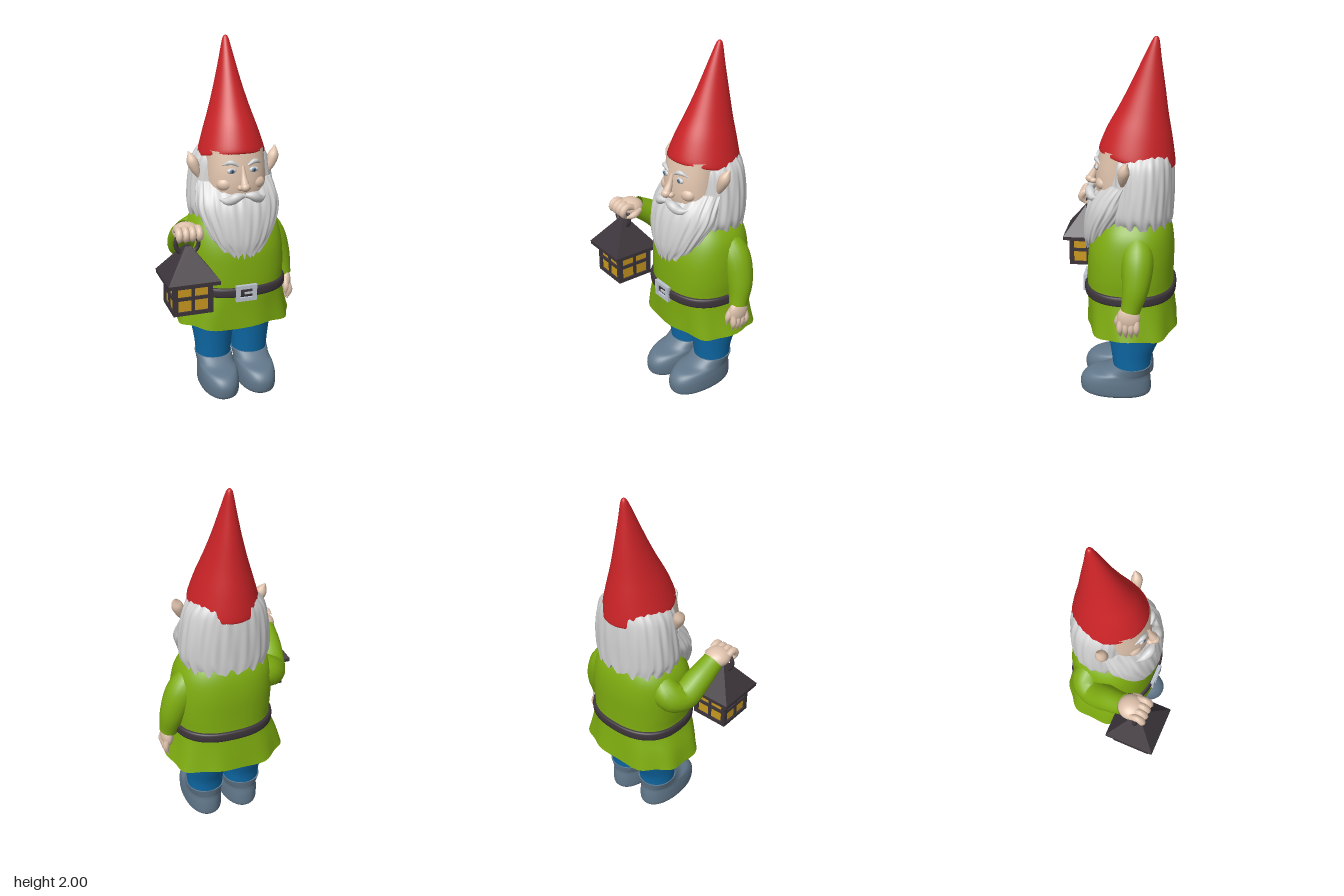
import * as THREE from 'three';
import { mergeVertices } from 'three/addons/utils/BufferGeometryUtils.js';

const mat = (name, color, side = THREE.FrontSide) => {
  const m = new THREE.MeshStandardMaterial({ color, side });
  m.name = name;
  return m;
};
const M = {
  red: mat('hatRed', 0xcb2327), green: mat('tunicGreen', 0x7eac10, THREE.DoubleSide),
  blue: mat('trouserBlue', 0x0e69a6), boot: mat('bootGrey', 0x61778a),
  dark: mat('darkIron', 0x3c353b), skin: mat('skin', 0xdfc3ad),
  white: mat('hairWhite', 0xd2d2d2), amber: mat('lanternAmber', 0xc9991f),
  silver: mat('buckleSilver', 0xbcc3ce), eye: mat('eyeBlue', 0x5b87ad),
};
const CX = 0.05; // body axis

function add(parent, name, geo, material, pos = [0, 0, 0], scale = [1, 1, 1]) {
  const m = new THREE.Mesh(geo, material);
  m.name = name;
  m.position.set(...pos);
  m.scale.set(...scale);
  parent.add(m);
  return m;
}

// Smooth value through a list of rows at 0..1
function spline(rows, k, u) {
  const f = u * (rows.length - 1), i = Math.min(Math.floor(f), rows.length - 2), t = f - i;
  const at = (j) => rows[THREE.MathUtils.clamp(j, 0, rows.length - 1)][k] ?? 0;
  const [a, b, c, d] = [at(i - 1), at(i), at(i + 1), at(i + 2)];
  return b + 0.5 * t * (c - a + t * (2 * a - 5 * b + 4 * c - d + t * (3 * (b - c) + d - a)));
}

// Skin over rising oval rings [y, cx, cz, rx, rz, tilt]
function loft(rings, { seg = 48, steps = 28, n = 2, ripple, drop, caps = true } = {}) {
  const pos = [], idx = [], row = seg;
  const pow = (s) => Math.sign(s) * Math.abs(s) ** (2 / n);
  for (let i = 0; i <= steps; i++) {
    const v = i / steps;
    const [y, cx, cz, rx, rz, tilt] = [0, 1, 2, 3, 4, 5].map((k) => spline(rings, k, v));
    for (let j = 0; j < seg; j++) {
      const a = (j / seg) * Math.PI * 2, r = 1 + (ripple ? ripple(a, v) : 0);
      const dz = rz * r * pow(Math.cos(a));
      pos.push(cx + rx * r * pow(Math.sin(a)), y + tilt * dz + (drop ? drop(a, v) : 0), cz + dz);
      if (i < steps) {
        const p = i * row + j, q = i * row + (j + 1) % seg;
        idx.push(p, q, p + row, q, q + row, p + row);
      }
    }
  }
  if (caps) for (const i of [0, steps]) {
    const start = pos.length / 3, c = [0, 0, 0];
    for (let j = 0; j < seg; j++) for (let k = 0; k < 3; k++) {
      const value = pos[(i * row + j) * 3 + k];
      pos.push(value);
      c[k] += value / seg;
    }
    pos.push(...c);
    for (let j = 0; j < seg; j++) {
      const p = start + j, q = start + (j + 1) % seg;
      idx.push(...(i ? [p, q, start + seg] : [q, p, start + seg]));
    }
  }
  const g = new THREE.BufferGeometry();
  g.setAttribute('position', new THREE.Float32BufferAttribute(pos, 3));
  g.setIndex(idx);
  g.computeVertexNormals();
  return g;
}

// Tube of changing radius along a curve
function limb(points, radii, steps = 20, seg = 16) {
  const curve = new THREE.CatmullRomCurve3(points.map((p) => new THREE.Vector3(...p)));
  let g = new THREE.TubeGeometry(curve, steps, 1, seg);
  const p = g.attributes.position, v = new THREE.Vector3(), rows = radii.map((r) => [r]);
  for (let i = 0; i < p.count; i++) {
    const u = Math.floor(i / (seg + 1)) / steps, c = curve.getPointAt(u);
    v.fromBufferAttribute(p, i).sub(c).multiplyScalar(spline(rows, 0, u)).add(c);
    p.setXYZ(i, v.x, v.y, v.z);
  }
  g.deleteAttribute('uv');
  g.deleteAttribute('normal');
  g = mergeVertices(g, 1e-5);
  g.computeVertexNormals();
  return g;
}
const ball = new THREE.SphereGeometry(1, 24, 16);
const strands = (amp) => (a, v) => amp * (Math.sin(19 * a + 3 * v) + 0.7 * Math.sin(31 * a - 5 * v + 1));
const ragged = (amp) => (a, v) => amp * Math.max(0, 1 - 4 * v) * (Math.sin(17 * a) + 0.6 * Math.sin(29 * a + 1));

function makeLantern() {
  const g = new THREE.Group();
  g.name = 'lantern';
  g.position.set(-0.29, 0, 0.21);
  const box = (name, m, w, h, d, x, y, z) => add(g, name, new THREE.BoxGeometry(w, h, d), m, [x, y, z]);
  box('lanternPanes', M.amber, 0.196, 0.16, 0.196, 0, 0.71, 0);
  box('lanternBase', M.dark, 0.216, 0.02, 0.216, 0, 0.632, 0);
  for (let i = 0; i < 4; i++) {
    const side = new THREE.Group();
    side.name = 'lanternFrame';
    side.rotation.y = i * Math.PI / 2;
    g.add(side);
    for (const [w, h, x, y] of [[0.026, 0.17, -0.095, 0.71], [0.026, 0.17, 0.095, 0.71], [0.016, 0.17, 0, 0.71],
      [0.21, 0.018, 0, 0.715], [0.21, 0.024, 0, 0.782]])
      add(side, 'lanternBar', new THREE.BoxGeometry(w, h, 0.014), M.dark, [x, y, 0.1]);
  }
  box('lanternEave', M.dark, 0.28, 0.02, 0.28, 0, 0.797, 0);
  const roof = new THREE.CylinderGeometry(0.022, 0.198, 0.165, 4).rotateY(Math.PI / 4).toNonIndexed();
  roof.computeVertexNormals();
  add(g, 'lanternRoof', roof, M.dark, [0, 0.889, 0]);
  add(g, 'lanternRing', new THREE.TorusGeometry(0.062, 0.012, 10, 32), M.dark, [0, 0.985, 0]);
  return g;
}

export function createModel() {
  const root = new THREE.Group();
  root.name = 'gardenGnome';

  // Boots and trouser legs
  for (const s of [-1, 1]) {
    const x = CX + s * 0.112;
    add(root, 'boot', loft([[0, x, 0, 0.095, 0.185], [0.02, x, 0.003, 0.108, 0.2], [0.08, x, 0.004, 0.11, 0.2],
      [0.125, x, -0.012, 0.106, 0.178], [0.148, x, -0.055, 0.104, 0.137], [0.185, x, -0.088, 0.108, 0.11]], { n: 2.2 }), M.boot);
    add(root, 'trouserLeg', loft([[0.165, x, -0.087, 0.102, 0.104], [0.25, x, -0.088, 0.108, 0.115],
      [0.35, x, -0.1, 0.122, 0.142], [0.42, x, -0.105, 0.132, 0.16], [0.52, x, -0.1, 0.135, 0.16]]), M.blue);
  }

  // Tunic with a wavy skirt, belt and buckle
  add(root, 'tunic', loft([[0.425, CX, -0.085, 0.333, 0.25], [0.53, CX, -0.078, 0.305, 0.243],
    [0.645, 0.06, -0.07, 0.272, 0.238], [0.75, 0.06, -0.07, 0.277, 0.237], [0.88, 0.055, -0.075, 0.275, 0.232],
    [0.99, CX, -0.085, 0.255, 0.205], [1.07, CX, -0.09, 0.19, 0.16], [1.12, CX, -0.1, 0.09, 0.09]], {
    n: 2.4, seg: 72, caps: false,
    ripple: (a, v) => 0.025 * Math.max(0, 1 - v * 3.6) * Math.sin(9 * a + 0.5),
    drop: (a, v) => 0.008 * Math.max(0, 1 - v * 5) * Math.sin(5 * a),
  }), M.green);
  add(root, 'belt', loft([[0.617, 0.06, -0.07, 0.272, 0.238], [0.625, 0.06, -0.07, 0.286, 0.252],
    [0.665, 0.06, -0.07, 0.286, 0.252], [0.673, 0.06, -0.07, 0.272, 0.238]], { n: 2.4, seg: 72, steps: 12, caps: false }), M.dark);
  const frame = new THREE.Shape([[-0.06, -0.046], [0.06, -0.046], [0.06, 0.046], [-0.06, 0.046]].map((p) => new THREE.Vector2(...p)));
  frame.holes.push(new THREE.Path([[-0.036, -0.025], [-0.036, 0.025], [0.036, 0.025], [0.036, -0.025]].map((p) => new THREE.Vector2(...p))));
  add(root, 'buckle', new THREE.ExtrudeGeometry(frame, { depth: 0.02, bevelEnabled: false }), M.silver, [CX, 0.645, 0.172]);
  add(root, 'buckleProng', new THREE.BoxGeometry(0.05, 0.01, 0.01), M.silver, [CX + 0.015, 0.645, 0.187]);

  // Hanging left arm and hand
  add(root, 'leftSleeve', limb([[0.2, 1.0, -0.11], [0.295, 0.88, -0.125], [0.35, 0.74, -0.12], [0.372, 0.615, -0.095]],
    [0.06, 0.085, 0.074, 0.052]), M.green);
  add(root, 'leftHand', ball, M.skin, [0.382, 0.58, -0.088], [0.035, 0.07, 0.062]);
  for (let i = 0; i < 4; i++)
    add(root, 'leftFinger', limb([[0.392, 0.57, -0.045 - i * 0.029], [0.4, 0.52, -0.043 - i * 0.029], [0.387, 0.462 + (i % 3 ? 0 : 0.01), -0.046 - i * 0.029]],
      [0.015, 0.018, 0.004], 10, 10), M.skin);
  add(root, 'leftThumb', limb([[0.375, 0.6, -0.05], [0.37, 0.55, -0.026], [0.365, 0.505, -0.025]], [0.018, 0.018, 0.004], 10, 10), M.skin);

  // Bent right arm and fist holding the lantern
  add(root, 'rightSleeve', limb([[-0.1, 1.0, -0.13], [-0.2, 0.9, -0.14], [-0.24, 0.88, -0.08], [-0.27, 0.96, 0.03], [-0.282, 1.02, 0.125]],
    [0.06, 0.085, 0.082, 0.072, 0.06], 28), M.green);
  add(root, 'rightHand', ball, M.skin, [-0.284, 1.032, 0.165], [0.072, 0.052, 0.075]);
  for (let i = 0; i < 4; i++) {
    const x = -0.34 + i * 0.036;
    add(root, 'rightFinger', limb([[x, 1.05, 0.18], [x, 1.063, 0.225], [x, 1.03, 0.25], [x, 0.995, 0.225]],
      [0.018, 0.02, 0.02, 0.006], 12, 10), M.skin);
  }
  add(root, 'rightThumb', limb([[-0.225, 1.03, 0.14], [-0.213, 1.01, 0.19], [-0.235, 0.995, 0.23]], [0.018, 0.019, 0.006], 10, 10), M.skin);
  root.add(makeLantern());

  // Head, hair and beard
  add(root, 'face', loft([[1.08, CX, -0.03, 0.14, 0.12], [1.2, CX, -0.03, 0.165, 0.15],
    [1.3, CX, -0.03, 0.166, 0.148], [1.42, CX, -0.05, 0.163, 0.145]], { n: 2.2 }), M.skin);
  add(root, 'hair', loft([[1.035, CX, -0.115, 0.225, 0.18], [1.1, CX, -0.11, 0.245, 0.188], [1.24, CX, -0.12, 0.236, 0.18],
    [1.36, CX, -0.12, 0.208, 0.172], [1.43, CX, -0.12, 0.15, 0.15]],
  { seg: 144, n: 2.15, ripple: strands(0.013), drop: ragged(0.016) }), M.white);
  add(root, 'beard', loft([[0.86, 0.047, 0.125, 0.085, 0.055], [0.93, 0.047, 0.105, 0.155, 0.085], [1.02, CX, 0.075, 0.2, 0.11],
    [1.11, CX, 0.03, 0.23, 0.135], [1.18, CX, 0, 0.225, 0.128], [1.25, CX, -0.04, 0.21, 0.1]],
  { seg: 144, ripple: strands(0.018), drop: ragged(0.014) }), M.white);

  // Mirrored face details
  for (const s of [-1, 1]) {
    const X = (d) => CX + s * d;
    add(root, 'moustache', limb([[X(0.002), 1.195, 0.15], [X(0.045), 1.188, 0.152], [X(0.09), 1.165, 0.132], [X(0.135), 1.175, 0.105]],
      [0.012, 0.026, 0.022, 0.003]), M.white);
    add(root, 'eyebrow', limb([[X(0.025), 1.35, 0.119], [X(0.065), 1.37, 0.112], [X(0.11), 1.352, 0.087]], [0.006, 0.013, 0.003], 12, 10), M.white);
    add(root, 'eyeWhite', ball, M.white, [X(0.062), 1.323, 0.108], [0.027, 0.015, 0.011]);
    add(root, 'iris', ball, M.eye, [X(0.062), 1.323, 0.117], [0.012, 0.012, 0.004]);
    add(root, 'pupil', ball, M.dark, [X(0.062), 1.323, 0.12], [0.006, 0.006, 0.003]);
    add(root, 'cheek', ball, M.skin, [X(0.085), 1.245, 0.072], [0.05, 0.04, 0.04]);
    add(root, 'nostril', ball, M.skin, [X(0.022), 1.234, 0.135], [0.016, 0.015, 0.02]);
    add(root, 'ear', limb([[X(0.195), 1.26, -0.04], [X(0.222), 1.32, -0.045], [X(0.24), 1.37, -0.055], [X(0.25), 1.405, -0.07]],
      [0.012, 0.026, 0.03, 0.004], 16, 14), M.skin);
  }
  add(root, 'nose', limb([[CX, 1.345, 0.11], [CX, 1.29, 0.128], [CX, 1.245, 0.148]], [0.01, 0.015, 0.024]), M.skin);
  add(root, 'noseTip', ball, M.skin, [CX, 1.24, 0.152], [0.027, 0.024, 0.028]);

  // Pointed hat leaning back
  add(root, 'hat', loft([[1.368, CX, -0.1, 0.178, 0.193, 0.2], [1.385, CX, -0.1, 0.186, 0.203, 0.2], [1.5, CX, -0.113, 0.152, 0.173, 0.18],
    [1.62, CX, -0.131, 0.112, 0.131, 0.14], [1.75, CX, -0.152, 0.074, 0.09, 0.1], [1.88, CX, -0.171, 0.042, 0.05, 0.05],
    [1.98, CX, -0.188, 0.018, 0.019], [2.0, CX, -0.19, 0.005, 0.005]], { steps: 42 }), M.red);

  return root;
}
